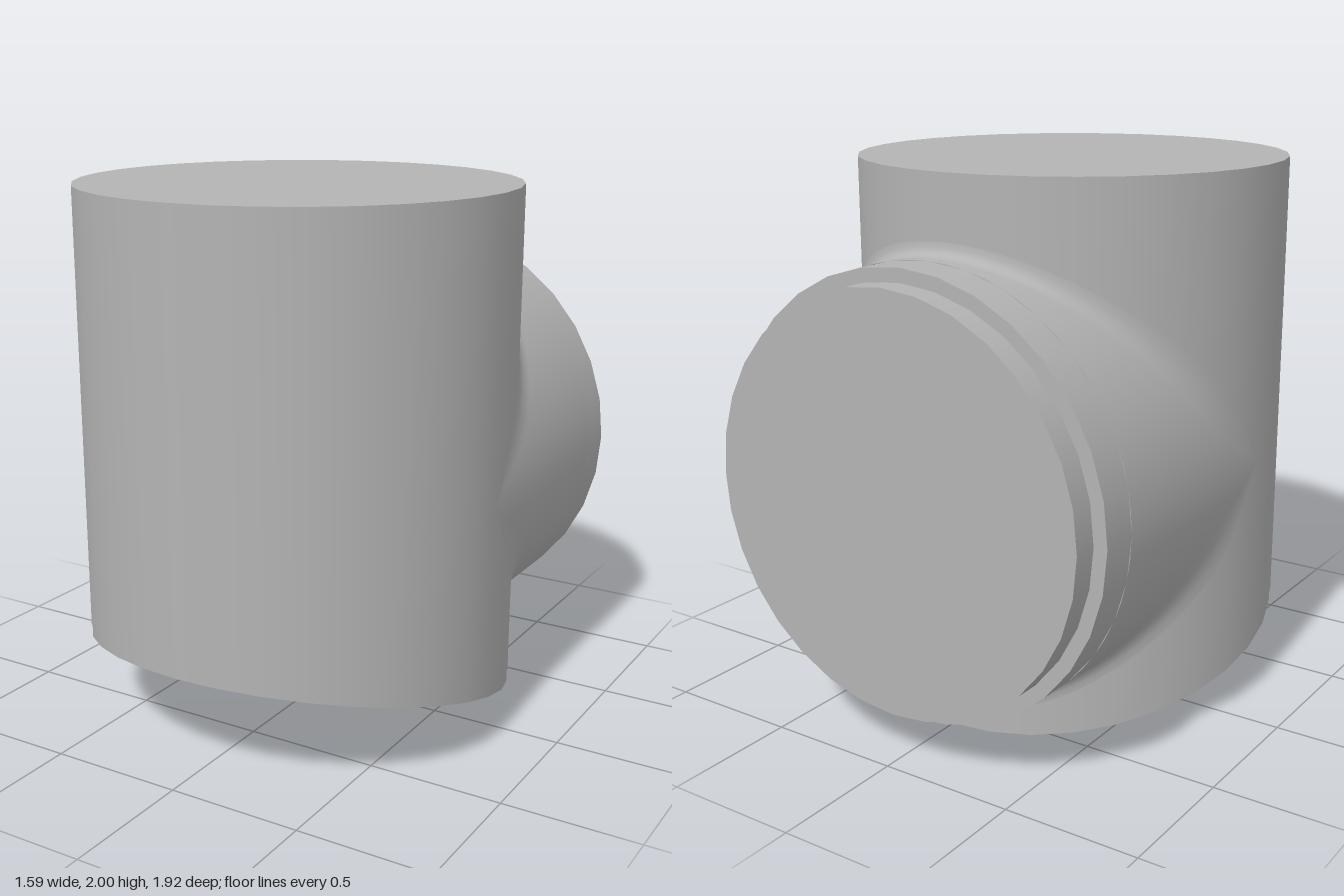
import * as THREE from 'three';

const R = 0.795;      // radius of the body and of the branch
const BODY_Z = 0.165; // body axis
const AXIS_Y = 0.925; // branch axis
const SIDES = 32;

const slant = (z) => 0.4 * (z + 0.63) / 1.59; // height of the sloped base

// Upright cylinder whose ends follow height functions of z
function slicedCylinder(radius, top, bottom) {
  const g = new THREE.CylinderGeometry(radius, radius, 1, SIDES, 1);
  g.translate(0, 0, BODY_Z);
  const p = g.attributes.position;
  for (let i = 0; i < p.count; i++) {
    p.setY(i, p.getY(i) > 0 ? top(p.getZ(i)) : bottom(p.getZ(i)));
  }
  // Flat caps keep their own vertices, so the rim stays sharp
  const sideNormals = g.attributes.normal.clone();
  g.computeVertexNormals();
  const n = g.attributes.normal;
  for (let i = 0; i < (SIDES + 1) * 2; i++) {
    n.setXYZ(i, sideNormals.getX(i), 0, sideNormals.getZ(i));
  }
  return g;
}

// Branch tube that flares into the body with a rounded fillet
function branchGeometry() {
  const around = 64, rows = 7;
  const pos = [], index = [];
  for (let j = 0; j < around; j++) {
    const a = (j / around) * Math.PI * 2;
    const c = Math.cos(a), s = Math.sin(a), k = Math.abs(s);
    const d = (0.05 + 0.1 * (1 - k)) * Math.min(1, k * 4);
    const corner = new THREE.Vector3(R * c, AXIS_Y + R * s, BODY_Z - R * k);
    const onBranch = corner.clone();
    onBranch.z -= d;
    const onBody = corner.clone();
    onBody.y += d * Math.sign(s);
    const curve = new THREE.QuadraticBezierCurve3(onBranch, corner, onBody);
    pos.push(corner.x, corner.y, -0.72);
    for (let i = 0; i < rows - 1; i++) pos.push(...curve.getPoint(i / (rows - 2)).toArray());
  }
  for (let j = 0; j < around; j++) {
    const n = (j + 1) % around;
    for (let i = 0; i < rows - 1; i++) {
      const a = j * rows + i, b = n * rows + i;
      index.push(a, b, a + 1, b, b + 1, a + 1);
    }
  }
  const g = new THREE.BufferGeometry();
  g.setAttribute('position', new THREE.Float32BufferAttribute(pos, 3));
  g.setIndex(index);
  g.computeVertexNormals();
  return g;
}

// Short disc on the branch axis
function ring(radius, zBack, zFront) {
  const g = new THREE.CylinderGeometry(radius, radius, zFront - zBack, SIDES);
  g.rotateX(Math.PI / 2);
  g.translate(0, AXIS_Y, (zBack + zFront) / 2);
  return g;
}

export function createModel() {
  const group = new THREE.Group();
  const grey = new THREE.MeshStandardMaterial({ color: 0xb4b4b4, side: THREE.DoubleSide });
  grey.name = 'grey';
  const add = (name, geometry) => {
    const mesh = new THREE.Mesh(geometry, grey);
    mesh.name = name;
    group.add(mesh);
  };

  // Main pipe and the narrow band along its sloped base
  add('body', slicedCylinder(R, () => 2, (z) => slant(z) + 0.05));
  add('baseBand', slicedCylinder(R - 0.003, (z) => slant(z) + 0.05, slant));

  // Rear branch with stepped end
  add('branch', branchGeometry());
  add('branchCollar', ring(R, -0.865, -0.72));
  add('branchSpigot', ring(0.745, -0.96, -0.865));

  return group;
}
